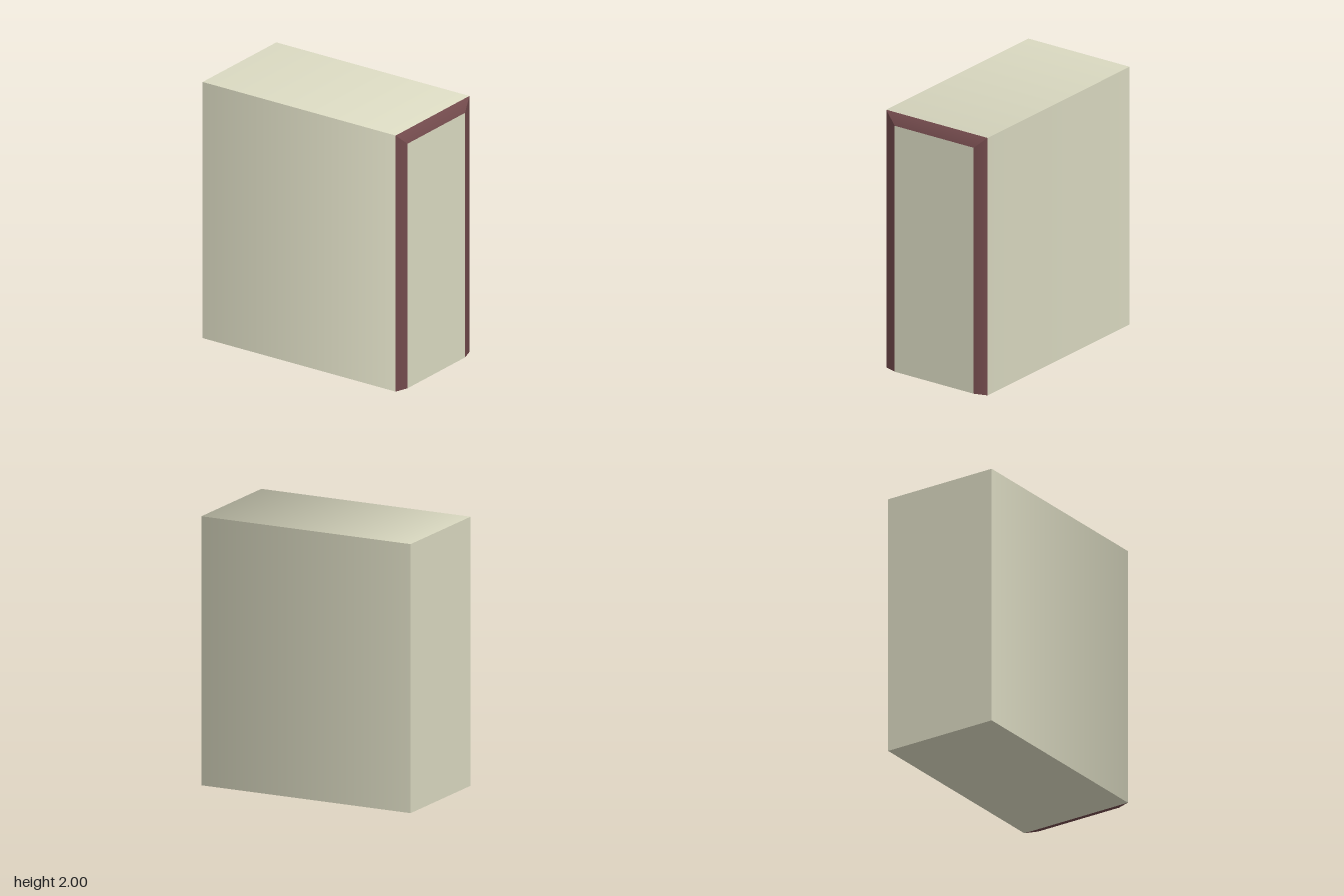
import * as THREE from 'three';

const W = 0.455, H = 2, BACK = -0.873, EDGE = 0.84, FRONT = 0.873; // body
const IW = 0.355, IH = 1.91;                                       // front panel

// Quad a,b,c,d (counter-clockwise), one normal per corner; flat if none are given
function quad(corners, normals) {
  const g = new THREE.BufferGeometry();
  g.setAttribute('position', new THREE.Float32BufferAttribute(corners.flat(), 3));
  g.setIndex([0, 1, 2, 0, 2, 3]);
  if (normals) g.setAttribute('normal', new THREE.Float32BufferAttribute(normals.flat(), 3));
  else g.computeVertexNormals();
  return g;
}

export function createModel() {
  const model = new THREE.Group();
  const cream = new THREE.MeshStandardMaterial({ color: 0xd9d8c0 });
  cream.name = 'cream';
  const maroon = new THREE.MeshStandardMaterial({ color: 0x724a4c });
  maroon.name = 'maroon';

  const add = (name, material, corners, normals) => {
    const mesh = new THREE.Mesh(quad(corners, normals), material);
    mesh.name = name;
    model.add(mesh);
  };

  // Normals turn softly from the body onto the front bevel
  const c = Math.cos(0.82), s = Math.sin(0.82);

  // Roof and its bevel
  const up = [0, 1, 0], upSoft = [0, c, s], upBevel = [0, 0.37, 0.93];
  add('roof', cream,
    [[-W, H, EDGE], [W, H, EDGE], [W, H, BACK], [-W, H, BACK]], [upSoft, upSoft, up, up]);
  add('topTrim', maroon,
    [[-IW, IH, FRONT], [IW, IH, FRONT], [W, H, EDGE], [-W, H, EDGE]],
    [upBevel, upBevel, upSoft, upSoft]);

  // Side walls and their bevels, mirrored
  for (const [side, k] of [['left', 1], ['right', -1]]) {
    const out = [k, 0, 0], soft = [k * c, 0, s], bevel = [k * 0.31, 0, 0.95];
    const order = (list) => (k > 0 ? list : [...list].reverse());
    add(side + 'Wall', cream,
      order([[k * W, 0, EDGE], [k * W, 0, BACK], [k * W, H, BACK], [k * W, H, EDGE]]),
      order([soft, out, out, soft]));
    add(side + 'Trim', maroon,
      order([[k * IW, 0, FRONT], [k * W, 0, EDGE], [k * W, H, EDGE], [k * IW, IH, FRONT]]),
      order([bevel, soft, soft, bevel]));
  }

  // Flat faces
  add('frontPanel', cream, [[-IW, 0, FRONT], [IW, 0, FRONT], [IW, IH, FRONT], [-IW, IH, FRONT]]);
  add('backWall', cream, [[W, 0, BACK], [-W, 0, BACK], [-W, H, BACK], [W, H, BACK]]);
  add('base', cream, [[-W, 0, BACK], [W, 0, BACK], [W, 0, EDGE], [-W, 0, EDGE]]);
  add('trimUnderside', maroon, [[-W, 0, EDGE], [W, 0, EDGE], [IW, 0, FRONT], [-IW, 0, FRONT]]);

  return model;
}
